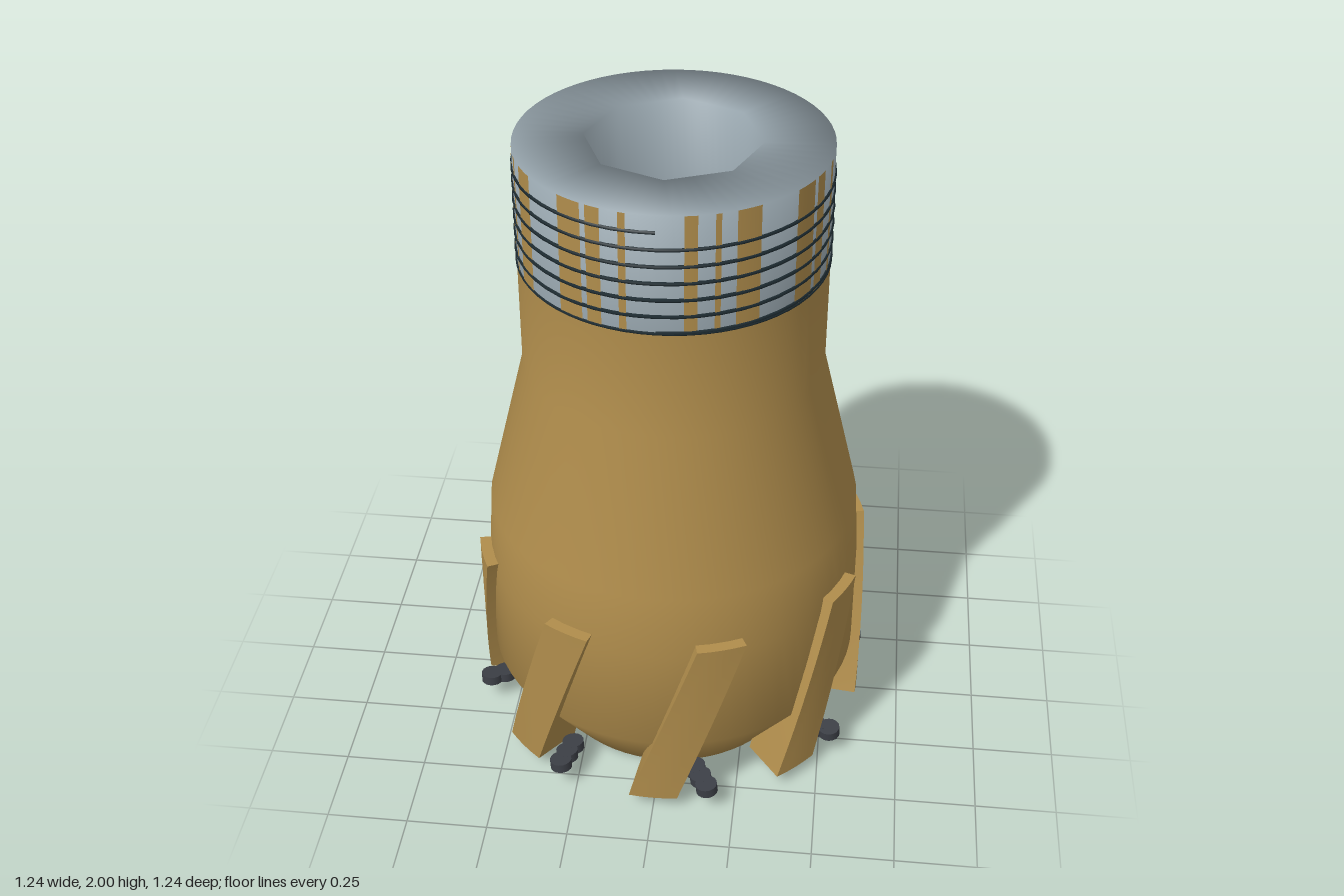
import * as THREE from 'three';

const mat = (name, color) => Object.assign(new THREE.MeshStandardMaterial({ color }), { name });

// Revolved shell whose inner bore is squeezed onto an octagon
function boredLathe(points) {
  const geo = new THREE.LatheGeometry(points.map(([x, y]) => new THREE.Vector2(x, y)), 64);
  const p = geo.attributes.position;
  const step = Math.PI / 4;
  for (let i = 0; i < p.count; i++) {
    const x = p.getX(i), z = p.getZ(i);
    if (Math.hypot(x, z) > 0.3) continue;
    const a = (Math.atan2(x, z) + Math.PI * 2) % step;
    const k = Math.cos(step / 2) / Math.cos(a - step / 2);
    p.setX(i, x * k);
    p.setZ(i, z * k);
  }
  return geo;
}

// Box wrapped round the axis and twisted as it rises
function bladeGeometry() {
  const geo = new THREE.BoxGeometry(1, 1, 1, 4, 14, 1);
  const p = geo.attributes.position;
  for (let i = 0; i < p.count; i++) {
    const t = p.getY(i) + 0.5;
    const a = p.getX(i) * 0.245 + t * 0.34;
    const r = p.getZ(i) > 0 ? 0.615 : 0.46;
    p.setXYZ(i, Math.sin(a) * r, 0.045 + t * 0.6, Math.cos(a) * r);
  }
  geo.computeVertexNormals();
  return geo;
}

// Rising screw line
class Helix extends THREE.Curve {
  getPoint(t, target = new THREE.Vector3()) {
    const a = t * Math.PI * 12;
    return target.set(Math.sin(a) * 0.449, 1.645 + t * 0.305, Math.cos(a) * 0.449);
  }
}

export function createModel() {
  const gold = mat('gold', 0xb08d4c);
  const steel = mat('steel', 0x98a6ae);
  const carbide = mat('carbide', 0x3c3f46);
  const black = mat('threadBlack', 0x1e2c32);

  const model = new THREE.Group();
  model.name = 'coreBit';
  const add = (parent, name, geo, material) => {
    const mesh = new THREE.Mesh(geo, material);
    mesh.name = name;
    parent.add(mesh);
    return mesh;
  };

  // Flared body with a chamfered nose
  add(model, 'body', boredLathe([
    [0.253, 1.64], [0.253, 0], [0.405, 0], [0.585, 0.25], [0.583, 0.6],
    [0.57, 0.81], [0.45, 1.3], [0.45, 1.64],
  ]), gold);

  // Threaded collar
  add(model, 'collar', boredLathe([
    [0.449, 1.64], [0.449, 2], [0.253, 2], [0.253, 1.64],
  ]), steel);

  // Gold streaks on the collar, repeated each quarter turn
  const streaks = [[-0.39, -0.36], [-0.25, -0.205], [-0.19, -0.15], [-0.1, -0.08],
    [0.075, 0.11], [0.155, 0.17], [0.21, 0.25], [0.36, 0.385]];
  for (let q = 0; q < 4; q++) {
    for (const [x0, x1] of streaks) {
      const a0 = Math.asin(x0 / 0.45), a1 = Math.asin(x1 / 0.45);
      const geo = new THREE.CylinderGeometry(0.4505, 0.4505, 0.36, 2, 1, true, a0 + q * Math.PI / 2, a1 - a0);
      add(model, 'collarStreak', geo, gold).position.y = 1.82;
    }
  }

  // Thread and the seam under it
  add(model, 'thread', new THREE.TubeGeometry(new Helix(), 288, 0.006, 5), black);
  const seam = add(model, 'threadSeam', new THREE.TorusGeometry(0.449, 0.005, 5, 64), black);
  seam.rotation.x = Math.PI / 2;
  seam.position.y = 1.643;

  // Eight twisted blades, each followed by a short row of cutters
  const blade = bladeGeometry();
  const disc = new THREE.CylinderGeometry(0.034, 0.034, 0.03, 16);
  for (let i = 0; i < 8; i++) {
    const station = new THREE.Group();
    station.name = 'bladeStation';
    station.rotation.y = i * Math.PI / 4;
    add(station, 'blade', blade, gold);
    for (let j = 0; j < 3; j++) {
      const cutter = add(station, 'cutter', disc, carbide);
      cutter.position.set(0.165 - j * 0.022, 0.084 - j * 0.002, 0.588 - j * 0.04);
      cutter.rotation.z = 0.1;
    }
    model.add(station);
  }
  return model;
}
